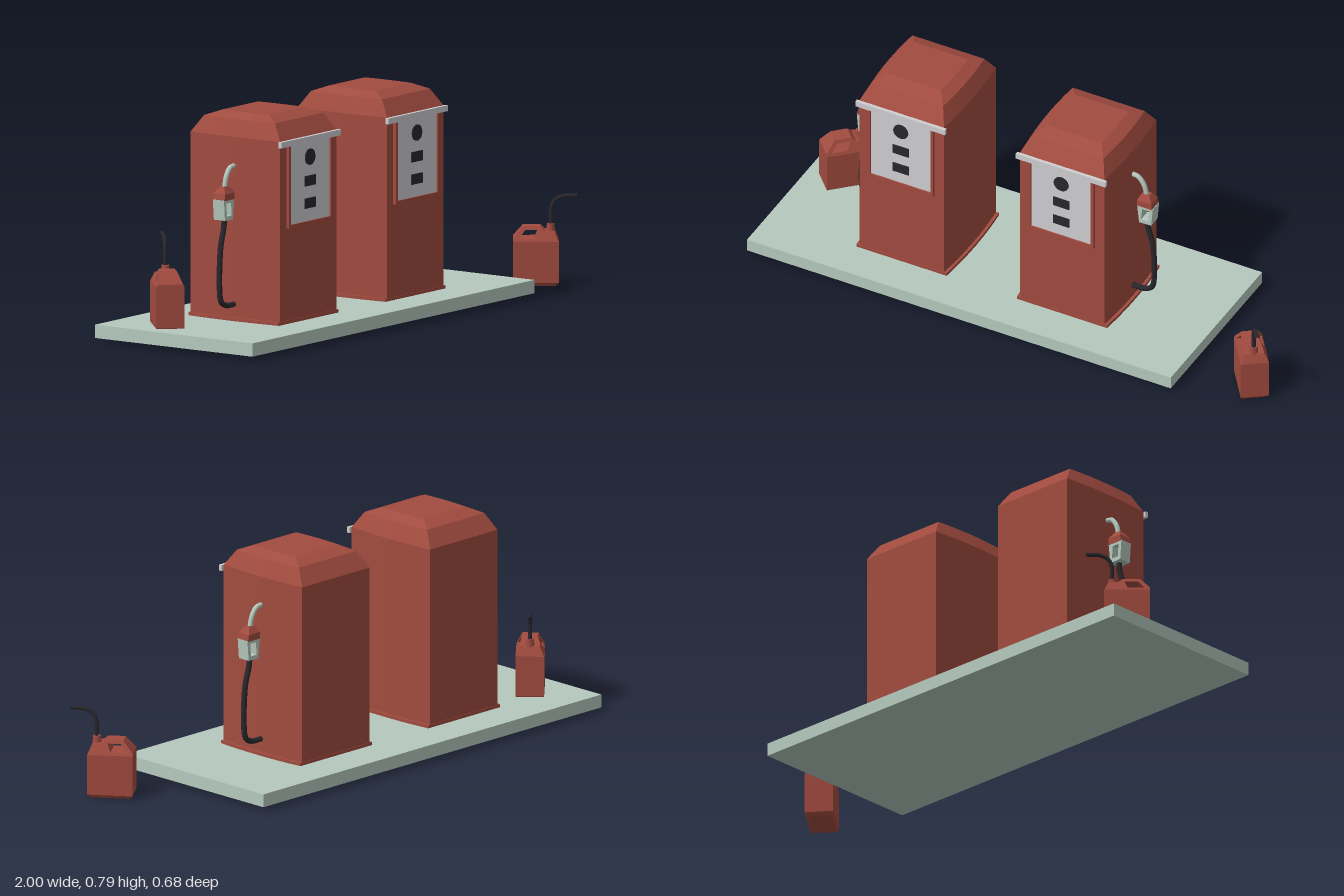
import * as THREE from 'three';

const mat = (name, color) => {
  const m = new THREE.MeshStandardMaterial({ color });
  m.name = name;
  return m;
};

export function createModel() {
  const red = mat('brick red', 0xa14b3f);
  const green = mat('pale green', 0xb5c9be);
  const grey = mat('light grey', 0xcfcfd2);
  const dark = mat('near black', 0x29272d);

  const add = (parent, name, geo, material, x = 0, y = 0, z = 0) => {
    const m = new THREE.Mesh(geo, material);
    m.name = name;
    m.position.set(x, y, z);
    parent.add(m);
    return m;
  };
  const group = (parent, name) => {
    const g = new THREE.Group();
    g.name = name;
    parent.add(g);
    return g;
  };
  const box = (w, h, d) => new THREE.BoxGeometry(w, h, d);
  const tube = (pts, r, seg = 20) => new THREE.TubeGeometry(
    new THREE.CatmullRomCurve3(pts.map(p => new THREE.Vector3(...p, 0))), seg, r, 8);

  // Faceted solid through stacked rings that run from +z towards +x
  const loft = rings => {
    const n = rings[0].length, pos = rings.flat(2), idx = [];
    for (let i = 0; i < rings.length - 1; i++)
      for (let j = 0; j < n; j++) {
        const a = i * n + j, b = i * n + (j + 1) % n;
        idx.push(a, b, b + n, a, b + n, a + n);
      }
    const top = (rings.length - 1) * n;
    for (let j = 1; j < n - 1; j++)
      idx.push(0, j + 1, j, top, top + j, top + j + 1);
    const g = new THREE.BufferGeometry();
    g.setAttribute('position', new THREE.Float32BufferAttribute(pos, 3));
    g.setIndex(idx);
    const flat = g.toNonIndexed();
    flat.computeVertexNormals();
    return flat;
  };
  // Rectangle whose left and right sides bulge outwards
  const ring = (y, hx, hz, bulge = 0, cx = 0) => {
    const pts = [], seg = bulge ? 6 : 1;
    for (const s of [1, -1])
      for (let i = 0; i <= seg; i++) {
        const t = 1 - 2 * i / seg;
        pts.push([cx + s * (hx + bulge * (1 - t * t)), y, s * hz * t]);
      }
    return pts;
  };
  const outline = (pts, C = THREE.Shape) => new C(pts.map(p => new THREE.Vector2(...p)));

  // Extruded outline with one hole, centred on z
  const holed = (pts, hole, depth) => {
    const s = outline(pts);
    s.holes.push(outline(hole, THREE.Path));
    return new THREE.ExtrudeGeometry(s, { depth, bevelEnabled: false }).translate(0, 0, -depth / 2);
  };

  const makePump = (parent, name, x, side) => {
    const p = group(parent, name);
    p.position.x = x;
    add(p, 'cabinet', loft([
      ring(0.06, 0.167, 0.193, 0.01), ring(0.712, 0.167, 0.193, 0.01),
      ring(0.77, 0.142, 0.153, 0.008), ring(0.79, 0.105, 0.1, 0.004),
    ]), red);
    add(p, 'baseLip', loft([ring(0.06, 0.178, 0.195, 0.01), ring(0.073, 0.178, 0.195, 0.01)]), red);

    // Display face: raised red frame, grey plate and dark read-outs
    const w = 0.13, i = 0.119;
    add(p, 'displayFrame', holed(
      [[-w, 0.4], [w, 0.4], [w, 0.7], [-w, 0.7]],
      [[-i, 0.412], [-i, 0.692], [i, 0.692], [i, 0.412]], 0.012), red, 0, 0, 0.199);
    add(p, 'displayPlate', box(2 * i, 0.28, 0.006), grey, 0, 0.552, 0.196);
    add(p, 'trimStrip', box(0.354, 0.021, 0.013), grey, 0, 0.701, 0.1995);
    const dial = new THREE.CylinderGeometry(0.029, 0.029, 0.004, 20).rotateX(Math.PI / 2);
    add(p, 'dial', dial, dark, 0, 0.638, 0.201);
    for (const y of [0.554, 0.475]) add(p, 'counter', box(0.064, 0.036, 0.004), dark, 0, y, 0.201);

    // Nozzle and hose on the outer side
    const n = group(p, 'nozzle');
    if (side < 0) n.rotation.y = Math.PI;
    add(n, 'spout', tube([[0.172, 0.61], [0.198, 0.606], [0.22, 0.58], [0.232, 0.538]], 0.009, 14), green);
    add(n, 'nozzleHead', loft([
      ring(0.498, 0.03, 0.025, 0, 0.236), ring(0.522, 0.028, 0.025, 0, 0.234),
      ring(0.545, 0.015, 0.01, 0, 0.232),
    ]), red);
    add(n, 'nozzleGrip', holed(
      [[0.214, 0.426], [0.262, 0.428], [0.268, 0.5], [0.206, 0.5]],
      [[0.222, 0.442], [0.226, 0.488], [0.254, 0.488], [0.25, 0.442]], 0.048), green);
    add(n, 'hose', tube([[0.233, 0.44], [0.236, 0.4], [0.255, 0.33], [0.261, 0.18],
      [0.252, 0.138], [0.225, 0.122], [0.17, 0.12]], 0.01, 32), dark);
  };

  const makeCan = (parent, x, y, z, turn) => {
    const c = group(parent, 'fuelCan');
    c.position.set(x, y, z);
    c.rotation.y = turn;
    add(c, 'canBody', loft([
      ring(0, 0.07, 0.04), ring(0.012, 0.08, 0.05), ring(0.157, 0.08, 0.05),
    ]), red);
    // Sloping shoulders with the handle opening, narrowing upwards
    const top = holed(
      [[-0.08, 0.156], [0.08, 0.156], [0.066, 0.19], [0.032, 0.193], [0.016, 0.208],
        [-0.045, 0.208], [-0.08, 0.166]],
      [[-0.002, 0.167], [-0.06, 0.167], [-0.037, 0.196], [0.01, 0.196]], 0.1);
    const pos = top.attributes.position;
    for (let k = 0; k < pos.count; k++)
      pos.setZ(k, pos.getZ(k) * (1 - 0.45 * (pos.getY(k) - 0.156) / 0.052));
    top.computeVertexNormals();
    add(c, 'canHandle', top, red);
    add(c, 'canCap', new THREE.CylinderGeometry(0.014, 0.016, 0.03, 10), red, 0.052, 0.2, 0);
    add(c, 'canSpout', tube([[0.054, 0.21], [0.054, 0.268], [0.066, 0.295], [0.09, 0.31],
      [0.144, 0.314]], 0.0075, 16), dark);
  };

  const model = new THREE.Group();
  model.name = 'fuelStation';
  add(model, 'platform', box(1.675, 0.047, 0.68), green, -0.1625, 0.0385, 0);
  makePump(model, 'rightPump', -0.466, -1);
  makePump(model, 'leftPump', 0.168, 1);
  makeCan(model, -0.861, 0.052, -0.128, Math.atan2(0.69, 0.724));
  makeCan(model, 0.907, 0, 0.176, -Math.atan2(0.804, 0.594));
  return model;
}
